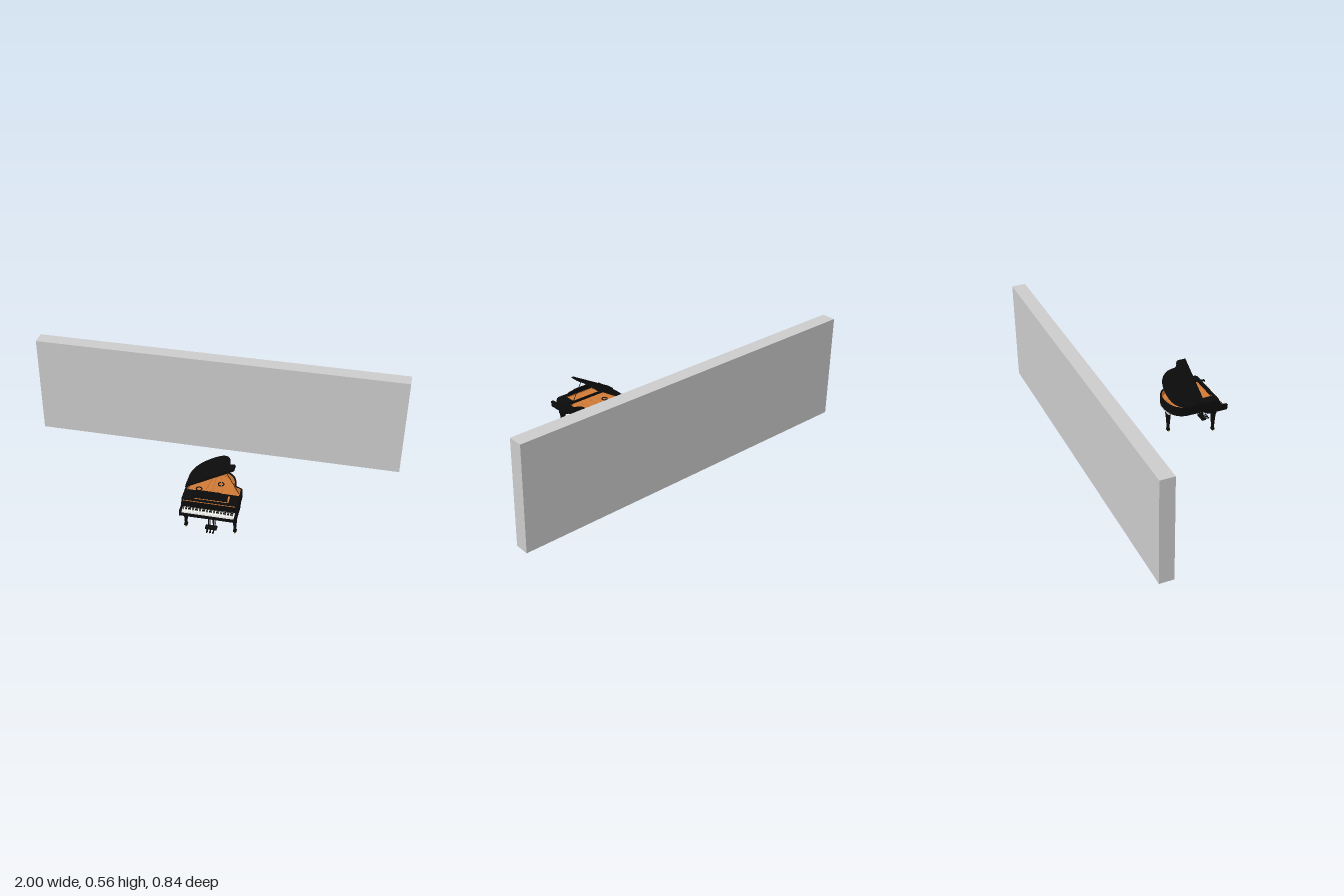
import * as THREE from 'three';

const mat = (color, extra = {}) => new THREE.MeshStandardMaterial({ color, ...extra });
const grey = mat(0xcccccc);
const black = mat(0x0b0b0b);
const blackFlat = mat(0x0b0b0b, { flatShading: true });
const wood = mat(0xd07a35, { side: THREE.DoubleSide });
const ivory = mat(0xf2f2ee);
const gold = mat(0xb8963c);

function add(parent, name, geometry, material, x = 0, y = 0, z = 0) {
  const m = new THREE.Mesh(geometry, material);
  m.name = name;
  m.position.set(x, y, z);
  parent.add(m);
  return m;
}

// Box given by its min and max along each axis
function box(parent, name, material, [x0, x1], [y0, y1], [z0, z1]) {
  const g = new THREE.BoxGeometry(x1 - x0, y1 - y0, z1 - z0);
  return add(parent, name, g, material, (x0 + x1) / 2, (y0 + y1) / 2, (z0 + z1) / 2);
}

// Thin round bar between two points
function rod(parent, name, material, a, b, r) {
  const p = new THREE.Vector3(...a), q = new THREE.Vector3(...b);
  const m = add(parent, name, new THREE.CylinderGeometry(r, r, p.distanceTo(q), 8), material);
  m.position.copy(p).add(q).multiplyScalar(0.5);
  m.quaternion.setFromUnitVectors(new THREE.Vector3(0, 1, 0), q.sub(p).normalize());
  return m;
}

// Wing-shaped plan of the piano, drawn in (x, -z), cut straight at zFront
function wing(zFront, scale = 1) {
  const s = new THREE.Shape();
  s.moveTo(-0.03, -zFront);
  s.lineTo(0.25, -zFront);
  s.lineTo(0.25, -0.242);
  s.bezierCurveTo(0.25, -0.212, 0.214, -0.232, 0.209, -0.195);
  s.bezierCurveTo(0.206, -0.135, 0.165, -0.097, 0.095, -0.097);
  s.bezierCurveTo(0.01, -0.097, -0.03, -0.13, -0.03, -0.195);
  const pts = s.getPoints(14);
  return new THREE.Shape(pts.map(p => new THREE.Vector2(
    0.1 + (p.x - 0.1) * scale, -0.23 + (p.y + 0.23) * scale)));
}

// Extrude a plan upward
function slab(shape, depth) {
  const g = new THREE.ExtrudeGeometry(shape, { depth, bevelEnabled: false, curveSegments: 14 });
  return g.rotateX(-Math.PI / 2);
}

function buildCase(piano) {
  const rim = wing(0.362);
  rim.holes.push(new THREE.Path(wing(0.362, 0.94).getPoints()));
  add(piano, 'rim', slab(rim, 0.05), black, 0, 0.15, 0);

  const liner = wing(0.362, 0.938);
  liner.holes.push(new THREE.Path(wing(0.362, 0.92).getPoints()));
  add(piano, 'innerRim', slab(liner, 0.03), wood, 0, 0.166, 0);
  add(piano, 'soundboard', slab(wing(0.362, 0.94), 0.006), wood, 0, 0.164, 0);

  // Sound holes, frame bars and tray around the music desk
  for (const [x, z] of [[0.03, 0.24], [0.13, 0.18]]) {
    const ring = add(piano, 'frameRing', new THREE.TorusGeometry(0.014, 0.003, 6, 20), black, x, 0.172, z);
    ring.rotation.x = Math.PI / 2;
  }
  for (const x of [0.06, 0.1, 0.16])
    rod(piano, 'frameBar', wood, [x, 0.176, 0.28], [0.06 + x * 0.35, 0.176, 0.125], 0.0025);
  box(piano, 'trayRight', black, [-0.028, 0.028], [0.185, 0.198], [0.288, 0.355]);
  box(piano, 'trayLeft', black, [0.2, 0.248], [0.185, 0.198], [0.288, 0.355]);
  box(piano, 'trayBack', black, [-0.02, 0.24], [0.185, 0.196], [0.283, 0.292]);
  box(piano, 'trayFloor', wood, [0.028, 0.2], [0.185, 0.192], [0.292, 0.345]);
  box(piano, 'fallboard', black, [-0.02, 0.24], [0.15, 0.2], [0.355, 0.37]);
  box(piano, 'feltStrip', wood, [-0.02, 0.24], [0.193, 0.197], [0.37, 0.371]);

  // Curved cheek at each end of the keyboard, profile in (z, y)
  const cheek = new THREE.Shape();
  cheek.moveTo(0.28, 0.15);
  cheek.lineTo(0.3, 0.132);
  cheek.lineTo(0.415, 0.132);
  cheek.lineTo(0.418, 0.158);
  cheek.quadraticCurveTo(0.418, 0.164, 0.41, 0.164);
  cheek.lineTo(0.38, 0.166);
  cheek.quadraticCurveTo(0.367, 0.17, 0.364, 0.2);
  cheek.lineTo(0.28, 0.2);
  const cheekGeo = new THREE.ExtrudeGeometry(cheek, { depth: 0.01, bevelEnabled: false });
  cheekGeo.rotateY(-Math.PI / 2);
  add(piano, 'rightCheek', cheekGeo, black, -0.021, 0, 0);
  add(piano, 'leftCheek', cheekGeo, black, 0.251, 0, 0);
  box(piano, 'keybed', black, [-0.022, 0.242], [0.132, 0.15], [0.29, 0.414]);
  box(piano, 'keybedBlock', black, [-0.02, 0.24], [0.125, 0.133], [0.305, 0.38]);
  box(piano, 'tailPlate', grey, [0.035, 0.14], [0.136, 0.151], [0.102, 0.136]);
}

function buildKeys(piano) {
  const keys = new THREE.Group();
  keys.name = 'keyboard';
  piano.add(keys);
  const n = 52, w = 0.26 / n;
  for (let i = 0; i < n; i++) {
    const x = -0.02 + i * w;
    box(keys, 'whiteKey', ivory, [x + 0.0003, x + w - 0.0003], [0.15, 0.158], [0.37, 0.412]);
    if (i < n - 1 && ![1, 4].includes(i % 7))
      box(keys, 'blackKey', black, [x + w - 0.0015, x + w + 0.0015], [0.157, 0.162], [0.37, 0.396]);
  }
}

function buildLid(piano) {
  const lid = new THREE.Group();
  lid.name = 'lid';
  lid.position.set(-0.03, 0.203, 0);
  lid.rotation.z = 0.518;
  piano.add(lid);
  add(lid, 'lidPanel', slab(wing(0.28), 0.005), black, 0.03, 0, 0);
  box(lid, 'foldedFlap', black, [0.003, 0.277], [0.005, 0.009], [0.245, 0.279]);
  for (const x of [0.228, 0.252])
    box(lid, 'propCup', gold, [x, x + 0.005], [-0.002, 0], [0.254, 0.262]);
  rod(piano, 'lidProp', black, [0.236, 0.19, 0.258], [0.168, 0.315, 0.258], 0.0016);

  // Sloping music desk with a raised middle
  const s = new THREE.Shape();
  s.moveTo(-0.083, 0);
  s.lineTo(0.083, 0);
  s.lineTo(0.083, 0.032);
  s.lineTo(0.06, 0.034);
  s.quadraticCurveTo(0.05, 0.042, 0.04, 0.042);
  s.lineTo(-0.04, 0.042);
  s.quadraticCurveTo(-0.05, 0.042, -0.06, 0.034);
  s.lineTo(-0.083, 0.032);
  const desk = add(piano, 'musicDesk',
    new THREE.ExtrudeGeometry(s, { depth: 0.003, bevelEnabled: false }), black, 0.112, 0.198, 0.345);
  desk.rotation.x = -0.4;
}

function buildLegs(piano) {
  // Square tapered leg with collar and foot, as (half width, height)
  const profile = [[0, 0.014], [0.007, 0.014], [0.009, 0.019], [0.008, 0.026], [0.0055, 0.031],
    [0.0105, 0.112], [0.013, 0.116], [0.013, 0.137], [0, 0.137]]
    .map(([r, y]) => new THREE.Vector2(r * Math.SQRT2, y));
  const legGeo = new THREE.LatheGeometry(profile, 4, Math.PI / 4);
  const spots = { frontRightLeg: [-0.014, 0.34], frontLeftLeg: [0.234, 0.34], rearLeg: [0.076, 0.12] };
  for (const [name, [x, z]] of Object.entries(spots)) {
    const leg = new THREE.Group();
    leg.name = name;
    leg.position.set(x, 0, z);
    piano.add(leg);
    add(leg, 'legPost', legGeo, blackFlat);
    add(leg, 'casterStem', new THREE.CylinderGeometry(0.003, 0.003, 0.008, 8), gold, 0, 0.012, 0);
    const wheel = add(leg, 'casterWheel', new THREE.CylinderGeometry(0.005, 0.005, 0.005, 14), gold, 0, 0.01, 0.002);
    wheel.rotation.z = Math.PI / 2;
  }
}

function buildPedals(piano) {
  const lyre = new THREE.Group();
  lyre.name = 'pedalLyre';
  lyre.position.x = 0.114;
  piano.add(lyre);
  box(lyre, 'pedalBox', black, [-0.029, 0.029], [0.012, 0.024], [0.328, 0.352]);
  box(lyre, 'lyreHead', black, [-0.024, 0.024], [0.118, 0.128], [0.328, 0.352]);
  for (const x of [-0.013, -0.004, 0.004, 0.013])
    rod(lyre, 'lyrePost', black, [x, 0.02, 0.34], [x, 0.125, 0.34], Math.abs(x) > 0.01 ? 0.003 : 0.0012);
  for (const x of [-0.016, 0, 0.016]) {
    box(lyre, 'pedal', black, [x - 0.003, x + 0.003], [0.011, 0.014], [0.34, 0.37]);
    const toe = add(lyre, 'pedalToe', new THREE.CylinderGeometry(0.005, 0.005, 0.003, 14), black, x, 0.0125, 0.37);
    toe.scale.z = 1.5;
  }
  for (const x of [-0.018, 0.018])
    rod(lyre, 'lyreBrace', black, [x, 0.02, 0.327], [x, 0.14, 0.285], 0.0015);
}

export function createModel() {
  const model = new THREE.Group();
  model.name = 'pianoAndWall';
  box(model, 'wall', grey, [-1, 1], [0, 0.56], [-0.417, -0.342]);

  const piano = new THREE.Group();
  piano.name = 'grandPiano';
  model.add(piano);
  buildCase(piano);
  buildKeys(piano);
  buildLid(piano);
  buildLegs(piano);
  buildPedals(piano);
  return model;
}
